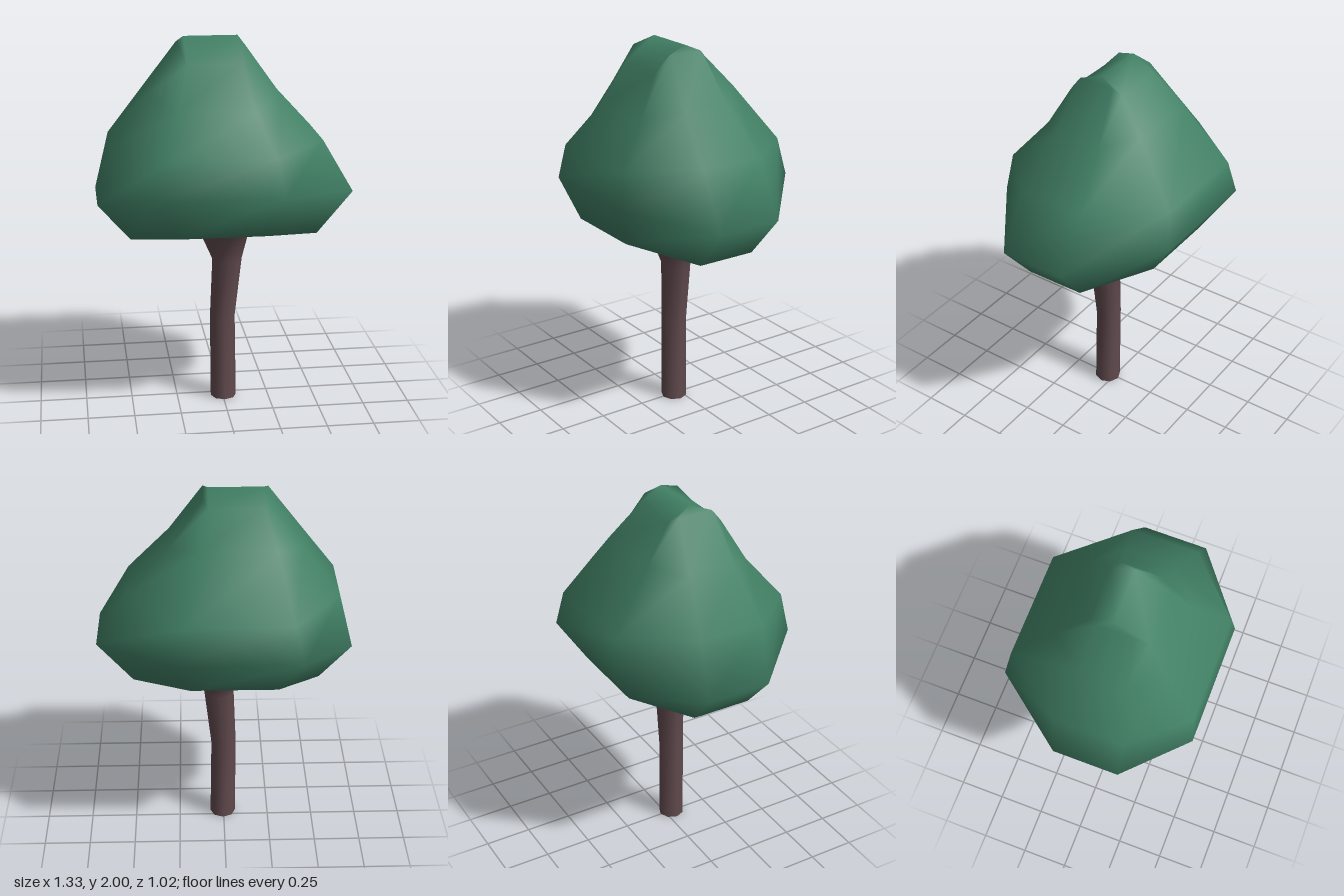
import * as THREE from 'three';
import { mergeVertices } from 'three/addons/utils/BufferGeometryUtils.js';

// Smooth skin through rings of equal length, listed from bottom to top,
// each running counterclockwise seen from above.
function loft(rings) {
  const n = rings[0].length;
  const index = [];
  for (let r = 0; r < rings.length - 1; r++) {
    for (let i = 0; i < n; i++) {
      const j = (i + 1) % n;
      const a = r * n + i, b = r * n + j, c = b + n, d = a + n;
      index.push(a, b, c, a, c, d);
    }
  }
  const g = new THREE.BufferGeometry();
  g.setAttribute('position', new THREE.Float32BufferAttribute(rings.flat(2), 3));
  g.setIndex(index);
  const merged = mergeVertices(g, 1e-4);
  merged.computeVertexNormals();
  return merged;
}

// Eight-cornered ring: x from left to right, z from back to front,
// and heights of the -x side, +x side, front edge and back edge.
function octagon([x0, x1, x2, x3], [zB, zb, zf, zF], [yL, yR, yF, yB]) {
  return [
    [x1, yF, zF], [x2, yF, zF], [x3, yR, zf], [x3, yR, zb],
    [x2, yB, zB], [x1, yB, zB], [x0, yL, zb], [x0, yL, zf],
  ];
}

function circle(x, y, z, r, n = 8) {
  return Array.from({ length: n }, (_, i) => {
    const a = (i / n) * Math.PI * 2;
    return [x + r * Math.cos(a), y, z - r * Math.sin(a)];
  });
}

export function createModel() {
  const leafGreen = new THREE.MeshStandardMaterial({ color: 0x418065 });
  const barkBrown = new THREE.MeshStandardMaterial({ color: 0x614a4e });
  const tree = new THREE.Group();
  tree.name = 'tree';
  const add = (name, geometry, material) => {
    const mesh = new THREE.Mesh(geometry, material);
    mesh.name = name;
    tree.add(mesh);
    return mesh;
  };

  // Faceted crown, closed by a line below and a short ridge on top
  add('canopy', loft([
    octagon([-0.15, -0.15, 0.15, 0.15], [0.04, 0.04, 0.04, 0.04], [1.0, 1.0, 1.0, 1.0]),
    octagon([-0.5, -0.27, 0.18, 0.48], [-0.37, -0.12, 0.2, 0.45], [0.98, 0.975, 1.05, 1.05]),
    octagon([-0.665, -0.39, 0.26, 0.665], [-0.51, -0.14, 0.21, 0.51], [1.17, 1.2, 1.26, 1.27]),
    octagon([-0.59, -0.34, 0.22, 0.5], [-0.48, -0.15, 0.21, 0.49], [1.47, 1.48, 1.45, 1.46]),
    octagon([-0.4, -0.26, 0.13, 0.28], [-0.25, -0.1, 0.16, 0.32], [1.73, 1.72, 1.66, 1.76]),
    octagon([-0.23, -0.2, 0.08, 0.105], [-0.1, -0.06, 0.13, 0.2], [1.96, 1.965, 1.88, 1.93]),
    octagon([-0.2, -0.2, 0.08, 0.08], [0.02, 0.02, 0.02, 0.02], [2, 2, 2, 2]),
  ]), leafGreen);

  // Slightly bent trunk that flares into the crown
  add('trunk', loft([
    circle(0.005, 0, 0.04, 0.07),
    circle(0, 0.47, 0.036, 0.068),
    circle(0.025, 0.8, 0.04, 0.08),
    circle(0.015, 0.91, 0.04, 0.118),
    circle(0.008, 1.01, 0.04, 0.178),
  ]), barkBrown);

  // Flat foot of the trunk
  const foot = add('trunkFoot', new THREE.CircleGeometry(0.07, 8), barkBrown);
  foot.rotation.x = Math.PI / 2;
  foot.position.set(0.005, 0, 0.04);

  return tree;
}
